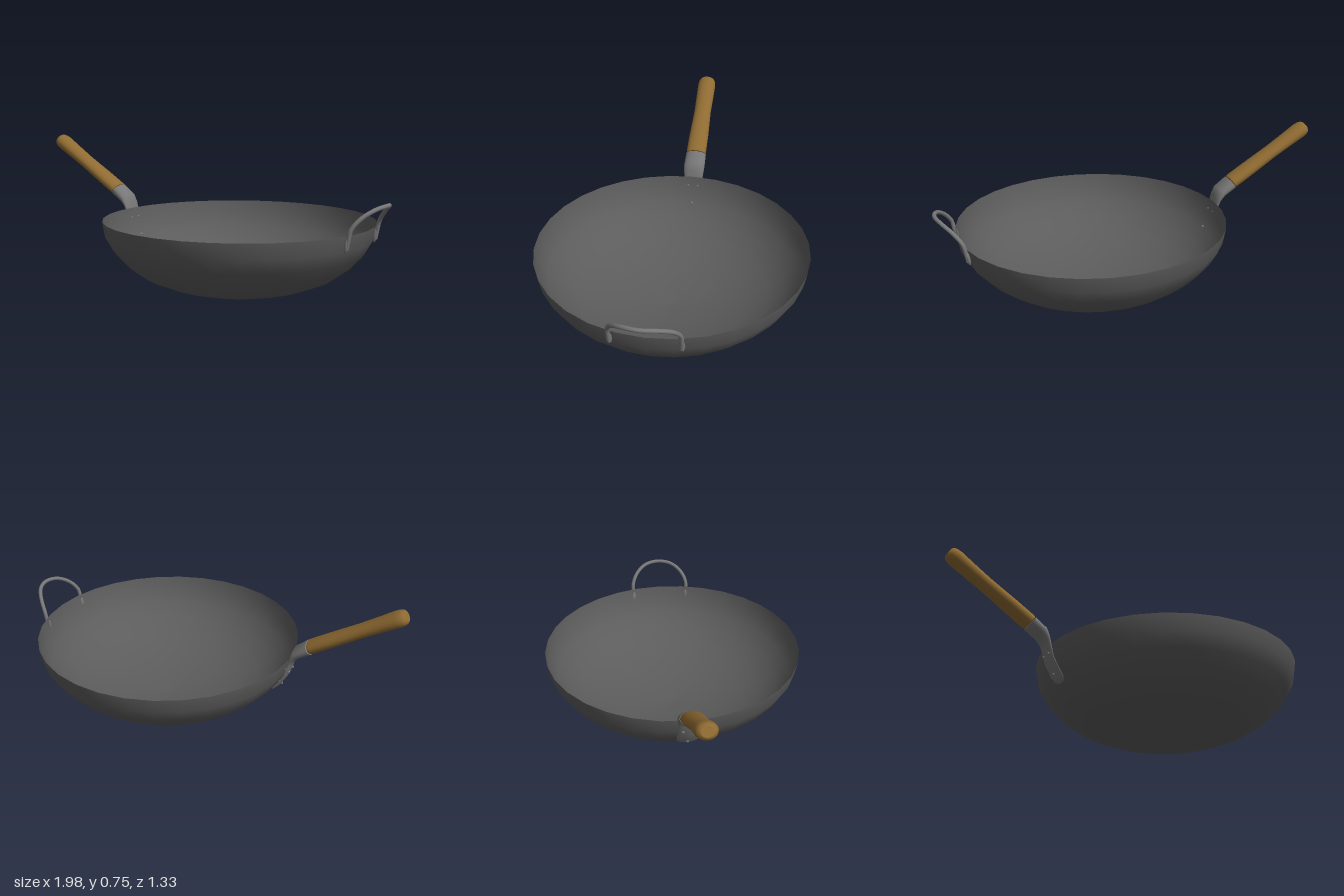
import * as THREE from 'three';

const dark = new THREE.MeshStandardMaterial({ color: 0x5c5c5c, side: THREE.DoubleSide });
const steel = new THREE.MeshStandardMaterial({ color: 0x777777 });
const wood = new THREE.MeshStandardMaterial({ color: 0x8f6b32 });

const BOWL_X = 0.222;

function add(parent, name, geometry, material) {
  const mesh = new THREE.Mesh(geometry, material);
  mesh.name = name;
  parent.add(mesh);
  return mesh;
}

// Skins oval sections; each is [topX, topY, bottomX, bottomY, halfWidth, bend]
function loft(sections, sides = 20) {
  const pos = [], index = [];
  const ring = ([tx, ty, bx, by, hw, bend = 0]) => {
    for (let j = 0; j < sides; j++) {
      const a = (j / sides) * Math.PI * 2;
      const c = Math.cos(a) / 2, z = Math.sin(a) * hw;
      pos.push((tx + bx) / 2 + (tx - bx) * c + bend * Math.abs(z), (ty + by) / 2 + (ty - by) * c, z);
    }
  };
  sections.forEach(ring);
  for (let i = 0; i < sections.length - 1; i++) {
    for (let j = 0; j < sides; j++) {
      const a = i * sides + j, b = i * sides + (j + 1) % sides;
      index.push(a, a + sides, b, b, a + sides, b + sides);
    }
  }
  // flat end caps with their own vertices
  for (const [s, first] of [[sections[0], true], [sections[sections.length - 1], false]]) {
    const base = pos.length / 3;
    ring(s);
    for (let j = 1; j < sides - 1; j++) {
      if (first) index.push(base, base + j, base + j + 1);
      else index.push(base, base + j + 1, base + j);
    }
  }
  const g = new THREE.BufferGeometry();
  g.setAttribute('position', new THREE.Float32BufferAttribute(pos, 3));
  g.setIndex(index);
  g.computeVertexNormals();
  return g;
}

function rivet(parent, x, y, z, r = 0.008) {
  add(parent, 'rivet', new THREE.SphereGeometry(r, 10, 8), steel).position.set(x, y, z);
}

export function createModel() {
  const model = new THREE.Group();
  model.name = 'wok';

  // Thin round-bottomed bowl
  const profile = [
    [0, 0.004], [0.129, 0.012], [0.254, 0.034], [0.371, 0.066], [0.475, 0.11],
    [0.554, 0.168], [0.614, 0.233], [0.653, 0.302], [0.666, 0.376],
  ].map(([r, y]) => new THREE.Vector2(r, y));
  add(model, 'bowl', new THREE.LatheGeometry(profile, 32), dark).position.x = BOWL_X;

  // Long handle: riveted plate rising into a socket, then the wooden grip
  const longHandle = new THREE.Group();
  longHandle.name = 'longHandle';
  model.add(longHandle);

  add(longHandle, 'socket', loft([
    [-0.365, 0.2, -0.371, 0.194, 0.02, 0.1],
    [-0.376, 0.213, -0.387, 0.205, 0.043, 0.1],
    [-0.394, 0.235, -0.408, 0.228, 0.051, 0.1],
    [-0.434, 0.302, -0.449, 0.297, 0.05, 0.1],
    [-0.445, 0.37, -0.466, 0.355, 0.05, 0.05],
    [-0.453, 0.41, -0.475, 0.38, 0.054],
    [-0.468, 0.449, -0.5, 0.403, 0.057],
    [-0.525, 0.494, -0.562, 0.438, 0.055],
  ]), steel);

  // [distance along grip, half thickness, half width]
  const grip = [
    [0, 0.031, 0.052], [0.01, 0.034, 0.054], [0.12, 0.034, 0.053], [0.27, 0.033, 0.047],
    [0.39, 0.036, 0.049], [0.455, 0.039, 0.05], [0.48, 0.037, 0.046],
    [0.494, 0.032, 0.038], [0.5, 0.024, 0.027],
  ].map(([t, h, w]) => {
    const dx = -0.857, dy = 0.516;
    const x = -0.546 + dx * t, y = 0.469 + dy * t;
    return [x + dy * h, y - dx * h, x - dy * h, y + dx * h, w];
  });
  add(longHandle, 'grip', loft(grip), wood);

  // Rivets through bowl and plate
  for (const [x, y, z] of [[-0.437, 0.325, 0.026], [-0.437, 0.325, -0.026], [-0.394, 0.236, 0]]) {
    rivet(longHandle, x, y, z);
    rivet(longHandle, x - 0.014, y - 0.006, z);
  }

  // Small loop handle on the opposite side
  const loopHandle = new THREE.Group();
  loopHandle.name = 'loopHandle';
  model.add(loopHandle);

  const half = [
    [0.868, 0.318, 0.157], [0.877, 0.365, 0.158], [0.886, 0.405, 0.156],
    [0.922, 0.455, 0.129], [0.963, 0.489, 0.075],
  ];
  const path = [...half, [0.982, 0.498, 0], ...half.slice().reverse().map(([x, y, z]) => [x, y, -z])];
  const curve = new THREE.CatmullRomCurve3(path.map((p) => new THREE.Vector3(...p)));
  add(loopHandle, 'loop', new THREE.TubeGeometry(curve, 28, 0.01, 10), steel);

  for (const side of [1, -1]) {
    // flattened foot with two rivets
    const foot = add(loopHandle, 'loopFoot', new THREE.SphereGeometry(1, 12, 10), steel);
    foot.scale.set(0.01, 0.036, 0.014);
    foot.position.set(0.868, 0.336, 0.157 * side);
    foot.rotation.z = -0.18;
    rivet(loopHandle, 0.878, 0.347, 0.157 * side, 0.006);
    rivet(loopHandle, 0.874, 0.326, 0.157 * side, 0.006);
  }

  return model;
}
